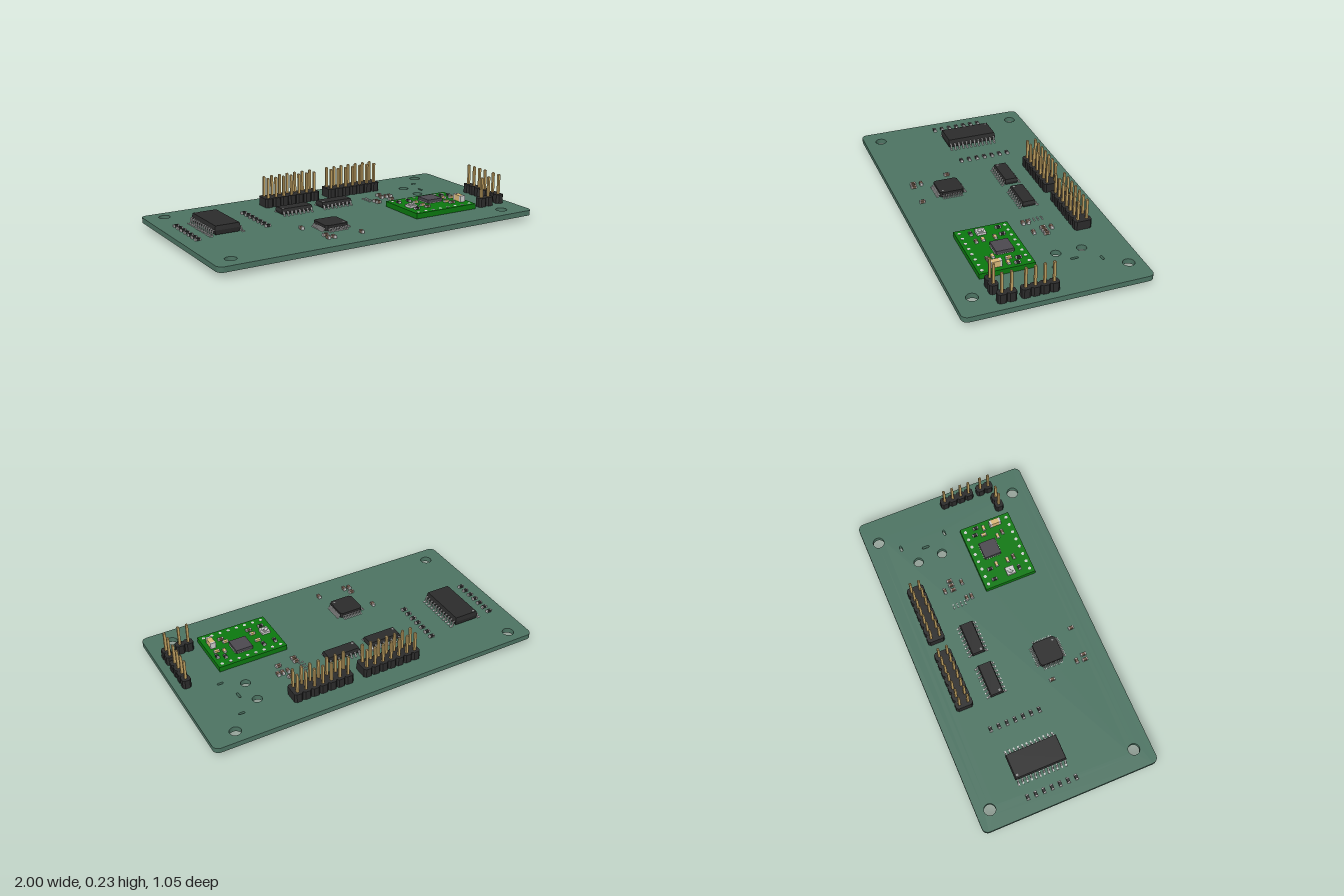
import * as THREE from 'three';

const TOP = 0.06; // upper face of the main board
const PITCH = 0.0515;
const mat = (color) => new THREE.MeshStandardMaterial({ color });
const M = {
  board: mat(0x4c7362), green: mat(0x0b780f), black: mat(0x2b2b2b), chip: mat(0x4b484f),
  gold: mat(0xbf9f60), silver: mat(0xcccccc), tan: mat(0xd9b878), brown: mat(0x6b5648), mark: mat(0x8a8a8a),
};

function add(parent, name, geo, material, x = 0, y = 0, z = 0, ry = 0) {
  const m = new THREE.Mesh(geo, material);
  m.name = name;
  m.position.set(x, y, z);
  m.rotation.y = ry;
  parent.add(m);
  return m;
}
function group(parent, name, x = 0, y = 0, z = 0, ry = 0) {
  const g = new THREE.Group();
  g.name = name;
  g.position.set(x, y, z);
  g.rotation.y = ry;
  parent.add(g);
  return g;
}

// Upright prism from a plan outline; shape y becomes -z
function prism(shape, h, curveSegments = 10) {
  return new THREE.ExtrudeGeometry(shape, { depth: h, bevelEnabled: false, curveSegments }).rotateX(-Math.PI / 2);
}
function chamferRect(w, d, c) {
  const a = w / 2, b = d / 2;
  return new THREE.Shape([[a, c - b], [a, b - c], [a - c, b], [c - a, b], [-a, b - c], [-a, c - b], [c - a, -b], [a - c, -b]]
    .map(([x, y]) => new THREE.Vector2(x, y)));
}
function roundRect(w, d, r, x = 0, y = 0, Type = THREE.Shape) {
  const a = w / 2 - r, b = d / 2 - r, s = new Type();
  s.absarc(x + a, y + b, r, 0, Math.PI / 2);
  s.absarc(x - a, y + b, r, Math.PI / 2, Math.PI);
  s.absarc(x - a, y - b, r, Math.PI, Math.PI * 1.5);
  s.absarc(x + a, y - b, r, Math.PI * 1.5, Math.PI * 2);
  s.closePath();
  return s;
}

// Main board with mounting holes, socket pegs and slots
function buildBoard(root) {
  const s = roundRect(2, 1.05, 0.035);
  const hole = (x, z, r) => s.holes.push(new THREE.Path().absarc(x, -z, r, 0, Math.PI * 2));
  for (const x of [-0.887, 0.85]) for (const z of [-0.445, 0.425]) hole(x, z, 0.033);
  for (const z of [-0.27, -0.12]) hole(0.64, z, 0.028);
  for (const [x, z, w, d] of [[0.762, -0.334, 0.036, 0.014], [0.762, -0.058, 0.036, 0.014], [0.715, -0.195, 0.014, 0.044]]) {
    s.holes.push(roundRect(w, d, 0.0068, x, -z, THREE.Path));
  }
  add(root, 'mainBoard', prism(s, 0.03, 16), M.board, 0, 0.03, 0);
}

// Pin header: one chamfered block per column, square pins with pointed ends
function buildHeader(root, name, x, z, cols, rows, ry = 0) {
  const g = group(root, name, x, 0, z, ry);
  const block = prism(chamferRect(PITCH, PITCH * rows - 0.002, 0.011), 0.053);
  const shaft = new THREE.BoxGeometry(0.0135, 0.227, 0.0135);
  const tip = new THREE.CylinderGeometry(0.0055, 0.0095, 0.004, 4).rotateY(Math.PI / 4);
  for (let i = 0; i < cols; i++) {
    const px = (i - (cols - 1) / 2) * PITCH;
    add(g, 'headerBlock', block, M.black, px, TOP + 0.001, 0);
    for (let j = 0; j < rows; j++) {
      const pz = (j - (rows - 1) / 2) * PITCH;
      add(g, 'pin', shaft, M.gold, px, 0.1175, pz);
      add(g, 'pinTip', tip, M.gold, px, 0.233, pz);
      add(g, 'pinTip', tip, M.gold, px, 0.002, pz).rotation.x = Math.PI;
    }
  }
}

// Gull-wing lead pointing along +x from its root, with its foot at y = 0
function leadGeometry(out, rise, width) {
  const t = 0.005, k = out * 0.4;
  const pts = [[-0.01, rise], [k, rise], [k + t, t], [out, t], [out, 0], [k, 0], [k - t, rise - t], [-0.01, rise - t]];
  const s = new THREE.Shape(pts.map(([a, b]) => new THREE.Vector2(a, b)));
  return new THREE.ExtrudeGeometry(s, { depth: width, bevelEnabled: false }).translate(0, 0, -width / 2);
}

// Moulded body, widest at mid height
function moulded(w, h, d, inset) {
  const g = new THREE.BoxGeometry(w, h, d, 1, 2, 1), p = g.attributes.position;
  for (let i = 0; i < p.count; i++) {
    if (Math.abs(p.getY(i)) < 1e-6) continue;
    p.setX(i, p.getX(i) - Math.sign(p.getX(i)) * inset);
    p.setZ(i, p.getZ(i) - Math.sign(p.getZ(i)) * inset);
  }
  const flat = g.toNonIndexed();
  flat.computeVertexNormals();
  return flat;
}

function leadRow(g, geo, count, pitch, offset, angle) {
  const row = group(g, 'leadRow', 0, TOP, 0, angle);
  for (let i = 0; i < count; i++) add(row, 'lead', geo, M.silver, offset, 0, (i - (count - 1) / 2) * pitch);
}

// Dual-row chip, long axis along z
function buildDualChip(root, name, x, z, ry, w, d, h, lift, n, out) {
  const g = group(root, name, x, 0, z, ry);
  add(g, 'chipBody', moulded(w, h, d, 0.005), M.black, 0, TOP + lift + h / 2, 0);
  const lead = leadGeometry(out, lift + h / 2 + 0.002, 0.009);
  for (const a of [0, Math.PI]) leadRow(g, lead, n, 0.0258, w / 2 - 0.002, a);
  add(g, 'pinOneMark', new THREE.CylinderGeometry(0.007, 0.007, 0.001, 16), M.mark, -w / 2 + 0.02, TOP + lift + h, -d / 2 + 0.018);
}

// Square chip with leads on four sides
function buildQuadChip(root, x, z) {
  const g = group(root, 'quadChip', x, 0, z);
  add(g, 'chipBody', prism(chamferRect(0.143, 0.143, 0.012), 0.03), M.black, 0, TOP + 0.003, 0);
  const lead = leadGeometry(0.02, 0.018, 0.0045);
  for (let k = 0; k < 4; k++) leadRow(g, lead, 12, 0.0102, 0.0705, k * Math.PI / 2);
  add(g, 'pinOneMark', new THREE.CylinderGeometry(0.006, 0.006, 0.001, 16), M.mark, 0.05, TOP + 0.033, 0.05);
}

// Two-terminal chip part, long axis along x unless turned
function buildPassive(root, x, y, z, turned, material = M.black, l = 0.032, w = 0.017, h = 0.014) {
  const g = group(root, 'chipPart', x, y + h / 2, z, turned ? Math.PI / 2 : 0);
  add(g, 'partBody', new THREE.BoxGeometry(l * 0.66, h * 0.95, w * 0.98), material);
  const cap = new THREE.BoxGeometry(l * 0.18, h, w);
  for (const s of [-1, 1]) add(g, 'terminal', cap, M.silver, s * l * 0.41, 0, 0);
}

// Raised green daughter board and its parts
function buildModule(root) {
  const g = group(root, 'driverModule', 0.516, 0, 0.186), T = 0.094;
  add(g, 'moduleBoard', new THREE.BoxGeometry(0.417, 0.031, 0.312), M.green, 0, T - 0.0155, 0);
  const pad = new THREE.CylinderGeometry(0.0095, 0.0095, 0.002, 16);
  for (let i = 0; i < 8; i++) for (const z of [-0.131, 0.131]) add(g, 'pad', pad, M.silver, (i - 3.5) * PITCH, T, z);

  // Driver chip with contacts round its edge
  const c = group(g, 'driverChip', 0.024, T, -0.038);
  add(c, 'chipBody', new THREE.BoxGeometry(0.102, 0.02, 0.102), M.chip, 0, 0.01, 0);
  const contact = new THREE.BoxGeometry(0.008, 0.004, 0.006);
  for (let k = 0; k < 4; k++) {
    const side = group(c, 'contactRow', 0, 0, 0, k * Math.PI / 2);
    for (let i = 0; i < 7; i++) add(side, 'contact', contact, M.silver, 0.052, 0.002, (i - 3) * 0.0125);
  }

  // Trimmer
  const t = group(g, 'trimmer', -0.152, T, 0.02);
  add(t, 'trimmerBase', new THREE.BoxGeometry(0.05, 0.014, 0.052), M.silver, 0, 0.007, 0);
  add(t, 'trimmerDial', new THREE.CylinderGeometry(0.018, 0.018, 0.006, 20), M.silver, 0, 0.017, 0);
  add(t, 'trimmerSlot', new THREE.BoxGeometry(0.024, 0.001, 0.005), M.mark, 0, 0.0205, 0, 0.6);

  // Tall capacitor and small parts: x, z, turned, material
  buildPassive(g, 0.167, T, 0.053, true, M.tan, 0.07, 0.032, 0.037);
  for (const [x, z, turned, m] of [
    [0.124, -0.036, true, M.tan], [0.165, -0.02, false, M.tan], [0.181, -0.065, true, M.black],
    [0.14, -0.086, true, M.black], [-0.081, -0.039, false, M.tan], [-0.081, 0.031, false, M.tan],
    [-0.166, -0.086, true, M.black], [-0.096, -0.086, true, M.black], [-0.075, 0.072, false, M.brown],
    [0.1, 0.072, false, M.brown], [0.085, 0.038, false, M.tan], [-0.152, 0.076, false, M.black],
  ]) buildPassive(g, x, T, z, turned, m, 0.032, 0.017, 0.012);
}

export function createModel() {
  const root = new THREE.Group();
  root.name = 'circuitBoard';
  buildBoard(root);

  buildHeader(root, 'doubleHeaderRight', -0.129, -0.353, 7, 2);
  buildHeader(root, 'doubleHeaderLeft', 0.3, -0.355, 7, 2);
  buildHeader(root, 'edgeHeaderLong', 0.93, 0.092, 4, 1, Math.PI / 2);
  buildHeader(root, 'edgeHeaderShort', 0.93, 0.271, 2, 1, Math.PI / 2);
  buildHeader(root, 'frontHeader', 0.817, 0.31, 2, 1);

  buildDualChip(root, 'wideChip', -0.724, -0.102, 0, 0.152, 0.308, 0.05, 0.008, 12, 0.031);
  buildDualChip(root, 'narrowChipRight', -0.205, -0.157, Math.PI / 2, 0.08, 0.202, 0.033, 0.005, 8, 0.022);
  buildDualChip(root, 'narrowChipLeft', 0.063, -0.16, Math.PI / 2, 0.08, 0.202, 0.033, 0.005, 8, 0.022);
  buildQuadChip(root, -0.177, 0.21);
  buildModule(root);

  // Resistor columns beside the wide chip
  for (let i = 0; i < 7; i++) {
    buildPassive(root, -0.906, TOP, -0.228 + i * 0.0485, false);
    buildPassive(root, -0.473, TOP, -0.268 + i * 0.0495, false);
  }
  // Scattered chip parts: x, z, turned
  for (const [x, z, turned] of [
    [-0.338, 0.168, true], [-0.29, 0.343, false], [-0.3, 0.39, true], [-0.268, 0.394, true], [-0.093, 0.394, true],
    [0.315, -0.092, false], [0.315, -0.062, false], [0.403, -0.195, false], [0.393, -0.147, true],
    [0.425, -0.147, true], [0.453, -0.147, true], [0.42, -0.083, false],
  ]) buildPassive(root, x, TOP, z, turned, M.brown, 0.032, 0.017, 0.017);
  // Row of small solder contacts
  const contact = new THREE.BoxGeometry(0.01, 0.006, 0.006);
  for (let i = 0; i < 4; i++) for (const x of [0.285, 0.304]) add(root, 'solderContact', contact, M.silver, x, TOP + 0.003, -0.183 + i * 0.024);
  return root;
}
